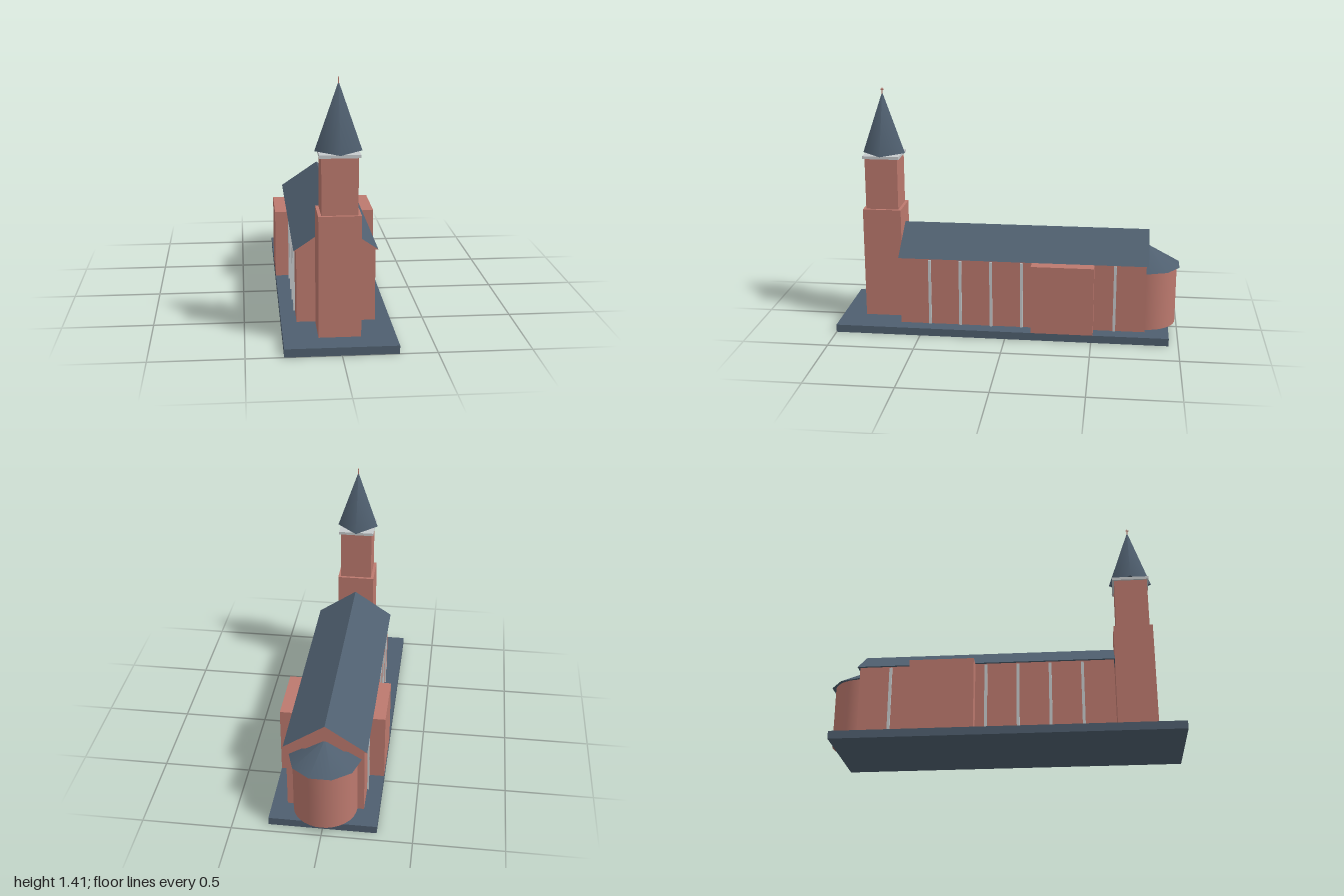
import * as THREE from 'three';

const brick = new THREE.MeshStandardMaterial({ color: 0xbc796e });
brick.name = 'brick';
const slate = new THREE.MeshStandardMaterial({ color: 0x4f5f6f });
slate.name = 'slate';
const stone = new THREE.MeshStandardMaterial({ color: 0xc6cacc });
stone.name = 'pale stone';

export function createModel() {
  const model = new THREE.Group();
  model.name = 'church';

  const add = (name, geometry, material, x = 0, y = 0, z = 0) => {
    const mesh = new THREE.Mesh(geometry, material);
    mesh.name = name;
    mesh.position.set(x, y, z);
    model.add(mesh);
    return mesh;
  };
  // Box given by its x, y and z ranges
  const box = (name, material, [x0, x1], [y0, y1], [z0, z1]) =>
    add(name, new THREE.BoxGeometry(x1 - x0, y1 - y0, z1 - z0), material,
      (x0 + x1) / 2, (y0 + y1) / 2, (z0 + z1) / 2);

  const ground = 0.045, eaves = 0.45;
  box('base', slate, [-0.3, 0.3], [0, ground], [-0.945, 1]);

  // Nave, side wings and pitched roof with brick gables
  box('nave', brick, [-0.215, 0.215], [ground, eaves], [-0.807, 0.627]);
  box('wings', brick, [-0.3, 0.3], [ground, eaves], [-0.51, -0.15]);
  const gable = new THREE.Shape([
    new THREE.Vector2(-0.23, eaves),
    new THREE.Vector2(0.23, eaves),
    new THREE.Vector2(0, 0.606),
  ]);
  add('naveRoof', new THREE.ExtrudeGeometry(gable, { depth: 1.452, bevelEnabled: false }),
    [brick, slate], 0, 0, -0.82);

  // Tall narrow windows along both sides
  for (const side of [-1, 1]) {
    for (const z of [0.45, 0.27, 0.09, -0.09, -0.63]) {
      const x = side * 0.2195;
      box('window', stone, [x - 0.0048, x + 0.0048], [ground, 0.441], [z - 0.008, z + 0.008]);
    }
  }

  // Rounded apse with a ten-sided roof
  add('apse', new THREE.CylinderGeometry(0.178, 0.178, 0.35, 32), brick, 0, 0.22, -0.809);
  const apseRoof = add('apseRoof', new THREE.ConeGeometry(0.2, 0.12, 10), slate, 0, 0.455, -0.81);
  apseRoof.rotation.y = Math.PI / 10;

  // Tower in two stages, cornice and four-sided spire
  const towerZ = 0.748;
  const stage = (name, material, half, y) =>
    box(name, material, [-half, half], y, [towerZ - half, towerZ + half]);
  stage('lowerTower', brick, 0.113, [ground, 0.705]);
  stage('upperTower', brick, 0.096, [0.705, 1.008]);
  stage('cornice', stone, 0.107, [1.008, 1.025]);
  add('spire', new THREE.ConeGeometry(0.125, 0.362, 4), slate, 0, 1.206, towerZ);

  // Cross on the spire tip
  stage('crossPost', brick, 0.0025, [1.375, 1.41]);
  box('crossBar', brick, [-0.0025, 0.0025], [1.398, 1.404], [towerZ - 0.009, towerZ + 0.009]);

  return model;
}
